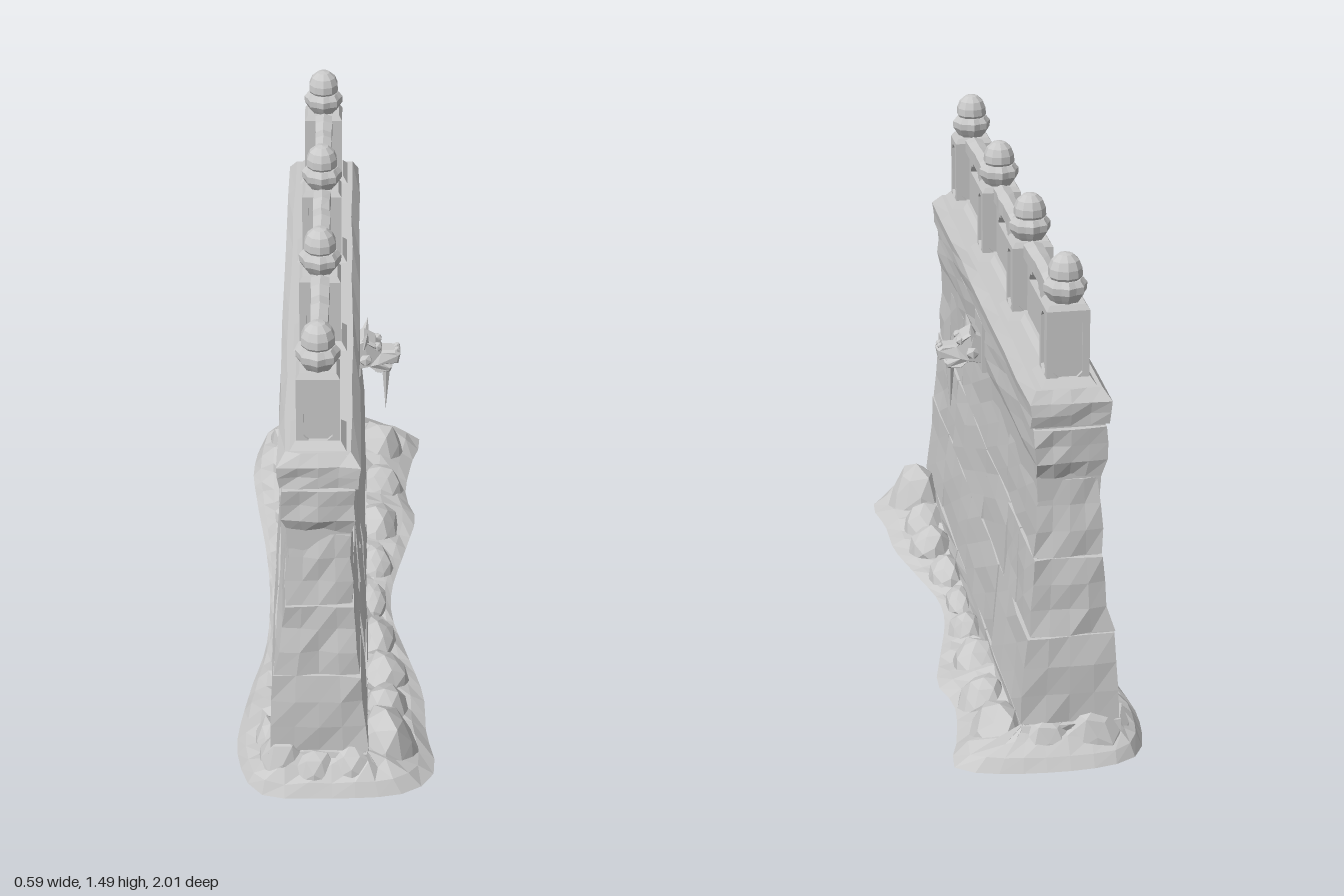
import * as THREE from 'three';

const stone = new THREE.MeshStandardMaterial({ color: 0xcacaca, flatShading: true, side: THREE.DoubleSide });
stone.name = 'grey stone';

const MID = -0.045; // centre line of the wall in x
const lerp = THREE.MathUtils.lerp;

// Repeatable noise in -1..1 that depends on position only, so seams stay closed
function noise(x, y, z) {
  const r = (v) => Math.round(v * 1000);
  const s = Math.sin(r(x) * 12.9898 + r(y) * 78.233 + r(z) * 37.719) * 43758.5453;
  return (s - Math.floor(s)) * 2 - 1;
}

// Wall section: height, back x, front x, half length
const SECTION = [
  [0, -0.195, 0.1, 0.925], [0.15, -0.19, 0.094, 0.922], [0.385, -0.176, 0.074, 0.915],
  [0.4, -0.16, 0.07, 0.912], [0.63, -0.14, 0.055, 0.9], [0.86, -0.127, 0.044, 0.885],
  [0.875, -0.135, 0.048, 0.892], [0.92, -0.147, 0.055, 0.905], [1.015, -0.148, 0.056, 0.9],
  [1.02, -0.155, 0.065, 0.9], [1.095, -0.158, 0.07, 0.905], [1.125, -0.138, 0.048, 0.88],
];
function section(y, col) {
  let i = 0;
  while (i < SECTION.length - 2 && y > SECTION[i + 1][0]) i++;
  const a = SECTION[i], b = SECTION[i + 1];
  return lerp(a[col], b[col], THREE.MathUtils.clamp((y - a[0]) / (b[0] - a[0]), 0, 1));
}

function mesh(name, geo, parent, x = 0, y = 0, z = 0) {
  const m = new THREE.Mesh(geo, stone);
  m.name = name;
  m.position.set(x, y, z);
  parent.add(m);
  return m;
}

function deform(geo, rule) {
  const p = geo.attributes.position;
  for (let i = 0; i < p.count; i++) p.setXYZ(i, ...rule(p.getX(i), p.getY(i), p.getZ(i)));
  geo.computeVertexNormals();
  return geo;
}

// One stone of half the wall's thickness, following the wall section
function block(side, y0, y1, z0, z1, inset = 0, rough = 0.005) {
  const geo = new THREE.BoxGeometry(1, 1, 1, 2, 3, Math.max(2, Math.ceil((z1 - z0) / 0.2)));
  return deform(geo, (bx, by, bz) => {
    const y = lerp(y0, y1, by + 0.5);
    const u = side > 0 ? bx + 0.5 : 0.5 - bx;
    const half = section(y, 3) - inset;
    const zn = lerp(z0, z1, bz + 0.5);
    let x = lerp(MID, section(y, side > 0 ? 2 : 1) - side * inset, u);
    let z = zn * half / 0.9;
    if (u > 0.9) x += noise(x, y, z) * rough;
    if (Math.abs(zn) > 0.899) z += noise(u * side, y, z) * rough * 1.6;
    return [x, y, z];
  });
}

function buildWall(root) {
  const wall = new THREE.Group();
  wall.name = 'wall';
  root.add(wall);
  // Courses: bottom, top, seams on the front face, seams on the back face
  const courses = [
    [0, 0.11, [0.25, -0.3], [0.2, -0.35]],
    [0.11, 0.385, [0.57, 0.1, -0.42], [0.47, 0, -0.45, -0.8]],
    [0.385, 0.625, [0.46, -0.11, -0.5, -0.68], [0.42, -0.3, -0.6]],
    [0.625, 0.862, [0.67, 0.4, -0.45], [0.12, -0.5]],
    [0.862, 1.018, [], []],
  ];
  const g = 0.0035;
  for (const [y0, y1, front, back] of courses) {
    for (const [side, seams] of [[1, front], [-1, back]]) {
      const cuts = [0.9, ...seams, -0.9];
      for (let i = 0; i + 1 < cuts.length; i++) {
        const top = i === 0 ? 0.9 : cuts[i] - g;
        const bottom = i + 2 === cuts.length ? -0.9 : cuts[i + 1] + g;
        mesh('wallStone', block(side, y0 + g, y1 - g, bottom, top), wall);
      }
    }
  }
  for (const side of [1, -1]) {
    mesh('wallCore', block(side, 0.01, 1.03, -0.9, 0.9, 0.012, 0), wall);
    mesh('copingStone', block(side, 1.022, 1.125, -0.9, 0.9, 0, 0.004), wall);
  }
}

// Four-sided frustum with separate bottom and top sizes
function frustum(w0, d0, w1, d1, h) {
  return deform(new THREE.BoxGeometry(1, h, 1), (x, y, z) =>
    y > 0 ? [x * w1, y, z * d1] : [x * w0, y, z * d0]);
}

// Thin face frame with a long eight-sided opening
function panelFrame(w, h) {
  const s = new THREE.Shape();
  s.moveTo(-w / 2, -h / 2).lineTo(w / 2, -h / 2).lineTo(w / 2, h / 2).lineTo(-w / 2, h / 2).closePath();
  const a = w / 2 - 0.02, b = h / 2 - 0.018, c = 0.018;
  const pts = [[-a, -b + c], [-a, b - c], [-a + c, b], [a - c, b], [a, b - c], [a, -b + c], [a - c, -b], [-a + c, -b]];
  s.holes.push(new THREE.Path(pts.map((p) => new THREE.Vector2(...p))));
  return new THREE.ExtrudeGeometry(s, { depth: 0.009, bevelEnabled: false });
}

function buildPost(root, z) {
  const post = new THREE.Group();
  post.name = 'post';
  post.position.set(MID, 0, z);
  root.add(post);
  mesh('postFoot', frustum(0.17, 0.17, 0.125, 0.11, 0.03), post, 0, 1.13, 0);
  mesh('postCore', new THREE.BoxGeometry(0.102, 0.22, 0.086), post, 0, 1.23, 0);
  mesh('postCap', frustum(0.12, 0.104, 0.1, 0.085, 0.016), post, 0, 1.346, 0);
  for (let i = 0; i < 4; i++) {
    const onEnd = i % 2 === 0; // faces towards +z and -z
    const holder = new THREE.Group();
    holder.name = 'postPanel';
    holder.rotation.y = i * Math.PI / 2;
    post.add(holder);
    mesh('panelFrame', panelFrame(onEnd ? 0.12 : 0.104, 0.215), holder, 0, 1.231, onEnd ? 0.043 : 0.051);
  }
  // Bud finial: lobed collar below a ribbed bud
  const lathe = (pts, sides) => new THREE.LatheGeometry(pts.map((p) => new THREE.Vector2(...p)), sides);
  const collar = lathe([[0, 0], [0.038, 0], [0.046, 0.012], [0.057, 0.03], [0.058, 0.05], [0.046, 0.066], [0, 0.07]], 16);
  deform(collar, (x, y, zz) => {
    const k = 1 + 0.06 * Math.cos(8 * Math.atan2(zz, x));
    return [x * k, y, zz * k];
  });
  mesh('finialCollar', collar, post, 0, 1.352, 0);
  mesh('finialBud', lathe([[0.036, 0], [0.048, 0.018], [0.047, 0.04], [0.038, 0.062], [0.02, 0.078], [0, 0.082]], 10), post, 0, 1.408, 0);
}

// Railing bay: plate with an open slot, hanging centre ornament, hand rail and kerb
function buildBay(root, za, zb) {
  const bay = new THREE.Group();
  bay.name = 'railingBay';
  bay.position.set(MID, 0, (za + zb) / 2);
  root.add(bay);
  const L = Math.abs(za - zb) - 0.09, w = L / 2;
  const s = new THREE.Shape();
  s.moveTo(-w, 1.11).lineTo(w, 1.11).lineTo(w, 1.33).lineTo(-w, 1.33).closePath();
  const e = w - 0.03;
  const half = [[0.018, 1.262], [0.026, 1.274], [0.045, 1.276], [0.052, 1.291], [e - 0.045, 1.291], [e - 0.04, 1.278], [e - 0.015, 1.272], [e, 1.25]];
  const hole = [...half, ...half.map(([x, y]) => [-x, y]).reverse()];
  s.holes.push(new THREE.Path(hole.map((p) => new THREE.Vector2(...p))));
  const plate = new THREE.ExtrudeGeometry(s, { depth: 0.03, bevelEnabled: false });
  plate.translate(0, 0, -0.015).rotateY(-Math.PI / 2);
  mesh('railingPlate', plate, bay);
  const rail = deform(new THREE.BoxGeometry(0.052, 0.045, L, 2, 1, 8), (x, y, z) => {
    const wear = y > 0 ? (Math.abs(x) < 0.01 ? 0.006 : -0.004) + 0.005 * noise(1, y, z) : 0;
    return [x + 0.003 * noise(x, 1, z), y + wear, z];
  });
  mesh('handRail', rail, bay, 0, 1.333, 0);
  mesh('railingKerb', frustum(0.1, L, 0.05, L, 0.025), bay, 0, 1.128, 0);
}

// Beast-head water spout with a hanging icicle
function buildSpout(root) {
  const spout = new THREE.Group();
  spout.name = 'waterSpout';
  root.add(spout);
  mesh('spoutPlate', new THREE.BoxGeometry(0.025, 0.16, 0.135), spout, 0.052, 0.938, 0);
  const pts = [[0.055, 0.875], [0.1, 0.885], [0.125, 0.865], [0.165, 0.862], [0.172, 0.88], [0.135, 0.897], [0.19, 0.892],
    [0.196, 0.925], [0.18, 0.937], [0.14, 0.938], [0.12, 0.965], [0.085, 0.985], [0.055, 0.97]];
  const head = new THREE.ExtrudeGeometry(new THREE.Shape(pts.map((p) => new THREE.Vector2(...p))),
    { depth: 0.06, bevelEnabled: true, bevelThickness: 0.012, bevelSize: 0.006, bevelOffset: -0.006, bevelSegments: 1 });
  head.translate(0, 0, -0.03);
  deform(head, (x, y, z) => [x, y, z * (x > 0.13 ? 0.68 : 1.05)]);
  mesh('beastHead', head, spout);
  for (const s of [1, -1]) {
    const ear = mesh('ear', new THREE.ConeGeometry(0.018, 0.06, 5), spout, 0.09, 0.985, s * 0.038);
    ear.rotation.set(s * 0.3, 0, -0.2);
    mesh('brow', new THREE.IcosahedronGeometry(0.016, 0), spout, 0.125, 0.953, s * 0.026);
    mesh('cheek', new THREE.IcosahedronGeometry(0.022, 0), spout, 0.09, 0.915, s * 0.04);
    mesh('nostril', new THREE.IcosahedronGeometry(0.011, 0), spout, 0.185, 0.935, s * 0.012);
  }
  const icicle = mesh('icicle', new THREE.ConeGeometry(0.016, 0.17, 6), spout, 0.153, 0.8, 0);
  icicle.rotation.x = Math.PI;
}

// Hollow earth skirt: rings from the ground outline up to the wall, plus loose boulders
function buildGround(root) {
  const outline = [[0.29, -0.93], [0.26, -0.78], [0.235, -0.57], [0.265, -0.44], [0.235, -0.28], [0.18, -0.02], [0.18, 0.12],
    [0.225, 0.32], [0.27, 0.52], [0.275, 0.7], [0.295, 0.88], [0.22, 0.97], [-0.05, 1], [-0.22, 0.98], [-0.29, 0.8],
    [-0.265, 0.52], [-0.22, 0.28], [-0.215, 0], [-0.235, -0.25], [-0.275, -0.55], [-0.29, -0.75], [-0.24, -0.95], [-0.12, -1], [0.2, -0.98]];
  const N = 72;
  const curve = new THREE.CatmullRomCurve3(outline.map(([x, z]) => new THREE.Vector3(x, 0, z)), true);
  const ring = curve.getSpacedPoints(N).slice(0, N);
  const rise = [[0, 0], [0.22, 0.38], [0.6, 0.7], [1, 1]];
  const pos = [], index = [];
  rise.forEach(([t, up], r) => ring.forEach((p, i) => {
    const ix = THREE.MathUtils.clamp(p.x, -0.175, 0.08), iz = THREE.MathUtils.clamp(p.z, -0.905, 0.905);
    const h = 0.035 + 0.085 * Math.pow(Math.abs(iz), 2) + 0.02 * noise(i, r, 3);
    pos.push(lerp(p.x, ix, t), up * h, lerp(p.z, iz, t));
    if (r < rise.length - 1) {
      const a = r * N + i, b = r * N + (i + 1) % N;
      index.push(a, a + N, b, b, a + N, b + N);
    }
  }));
  const geo = new THREE.BufferGeometry();
  geo.setAttribute('position', new THREE.Float32BufferAttribute(pos, 3));
  geo.setIndex(index);
  geo.computeVertexNormals();
  mesh('groundSkirt', geo, root);

  // Boulders: x, z, radius in x, height, radius in z
  const rocks = [
    [0.14, -0.82, 0.09, 0.13, 0.11], [0.15, -0.6, 0.075, 0.1, 0.085], [0.13, -0.36, 0.08, 0.1, 0.1], [0.13, -0.14, 0.055, 0.08, 0.08],
    [0.12, 0.06, 0.045, 0.06, 0.09], [0.13, 0.26, 0.06, 0.08, 0.1], [0.15, 0.46, 0.075, 0.1, 0.085], [0.15, 0.63, 0.075, 0.11, 0.1],
    [0.15, 0.81, 0.1, 0.165, 0.11], [0.05, 0.91, 0.08, 0.13, 0.06], [-0.06, 0.92, 0.07, 0.11, 0.06], [-0.15, 0.89, 0.08, 0.15, 0.07],
    [0.02, -0.91, 0.09, 0.13, 0.06], [-0.12, -0.91, 0.09, 0.14, 0.06], [-0.19, -0.83, 0.05, 0.11, 0.09], [-0.19, 0.78, 0.05, 0.1, 0.09],
  ];
  rocks.forEach(([x, z, rx, h, rz], k) => {
    const rock = deform(new THREE.IcosahedronGeometry(1, 1), (a, b, c) => {
      const n = 1 + 0.09 * noise(a + k, b, c);
      return [a * n * rx, Math.max(0, b) * n * h, c * n * rz];
    });
    mesh('boulder', rock, root, x, 0.004, z);
  });
}

export function createModel() {
  const root = new THREE.Group();
  root.name = 'stoneWallWithRailing';
  buildWall(root);
  const posts = [0.797, 0.265, -0.263, -0.795];
  posts.forEach((z, i) => {
    buildPost(root, z);
    if (i) buildBay(root, posts[i - 1], z);
  });
  buildSpout(root);
  buildGround(root);
  return root;
}
